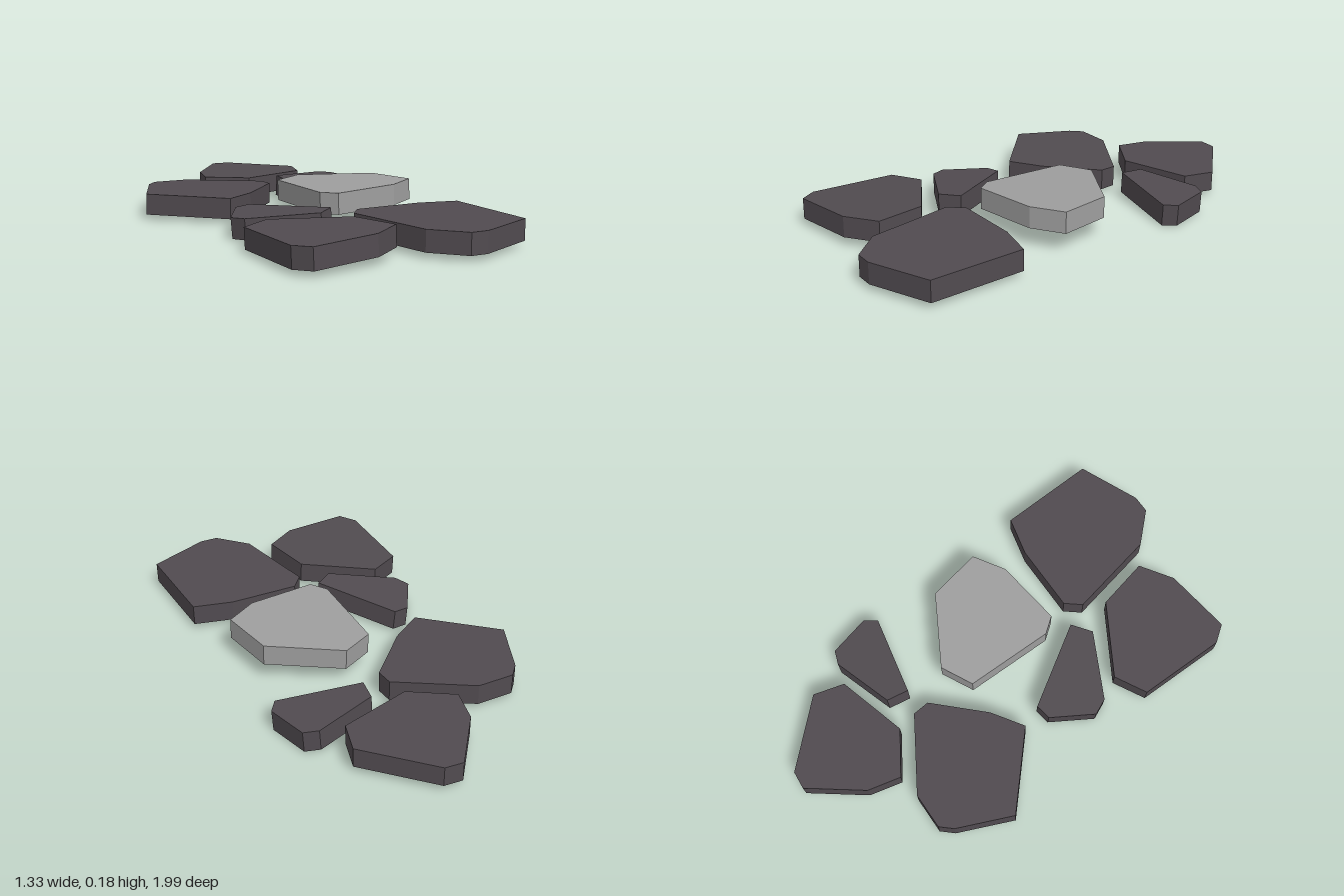
import * as THREE from 'three';

const darkStone = new THREE.MeshStandardMaterial({ name: 'darkStone', color: 0x514b50, flatShading: true, side: THREE.DoubleSide });
const lightStone = new THREE.MeshStandardMaterial({ name: 'lightStone', color: 0x9e9e9e, flatShading: true, side: THREE.DoubleSide });

// Each outline runs clockwise seen from above as [x, z].
// top is the height at the centre; slope is the rise of the top along x and z.
const stones = [
  { name: 'backRightSlab', centre: [0.33, -0.75], top: 0.115, slope: [0, -0.005], thick: 0.088,
    outline: [[0.36, -1], [0.435, -0.97], [0.6, -0.655], [0.525, -0.535], [0.2, -0.545], [0.06, -0.71], [0.135, -0.84]] },
  { name: 'backLeftSlab', centre: [-0.12, -0.5], top: 0.114, slope: [-0.01, 0], thick: 0.094,
    outline: [[-0.2, -0.78], [-0.045, -0.73], [0.195, -0.455], [0.18, -0.38], [-0.065, -0.25], [-0.225, -0.205], [-0.43, -0.545], [-0.26, -0.745]] },
  { name: 'smallRightChip', centre: [0.5, -0.35], top: 0.107, slope: [-0.05, -0.025], thick: 0.096,
    outline: [[0.325, -0.48], [0.61, -0.48], [0.663, -0.44], [0.657, -0.25], [0.605, -0.21], [0.282, -0.39]] },
  { name: 'raisedLightSlab', centre: [0.2, 0.05], top: 0.172, slope: [0.02, 0.025], thick: 0.094,
    outline: [[0.065, -0.205], [0.22, -0.23], [0.457, 0.025], [0.435, 0.27], [0.28, 0.31], [-0.02, 0.255], [-0.05, 0.175]] },
  { name: 'smallLeftChip', centre: [-0.25, 0.1], top: 0.11, slope: [0.06, 0.05], thick: 0.092,
    outline: [[-0.28, -0.11], [-0.21, -0.1], [-0.103, 0.29], [-0.2, 0.325], [-0.425, 0.105], [-0.435, 0.03]] },
  { name: 'frontLeftSlab', centre: [-0.41, 0.5], top: 0.119, slope: [0.03, 0.03], thick: 0.092,
    outline: [[-0.555, 0.243], [-0.4, 0.213], [-0.163, 0.475], [-0.18, 0.71], [-0.34, 0.757], [-0.638, 0.705], [-0.668, 0.62]] },
  { name: 'frontRightSlab', centre: [0.15, 0.68], top: 0.118, slope: [0, 0], thick: 0.093,
    outline: [[-0.087, 0.405], [-0.015, 0.358], [0.277, 0.453], [0.43, 0.545], [0.325, 0.967], [0.035, 0.993], [-0.04, 0.968], [-0.12, 0.81]] },
];

// A tilted polygon cap with a wall around it, hollow and open underneath
function slabGeometry({ centre, top, slope, thick, outline }) {
  const down = new THREE.Vector3(slope[0], -1, slope[1]).setLength(thick);
  const upper = outline.map(([x, z]) =>
    new THREE.Vector3(x, top + (x - centre[0]) * slope[0] + (z - centre[1]) * slope[1], z));
  const lower = upper.map((p) => p.clone().add(down));
  const points = [];
  const n = upper.length;
  for (let i = 0; i < n; i++) {
    const j = (i + 1) % n;
    if (i > 0 && j > 0) points.push(upper[0], upper[j], upper[i]);
    points.push(upper[i], upper[j], lower[j], upper[i], lower[j], lower[i]);
  }
  const geometry = new THREE.BufferGeometry().setFromPoints(points);
  geometry.computeVertexNormals();
  return geometry;
}

export function createModel() {
  const group = new THREE.Group();
  group.name = 'steppingStones';
  for (const stone of stones) {
    const mesh = new THREE.Mesh(slabGeometry(stone), stone.name === 'raisedLightSlab' ? lightStone : darkStone);
    mesh.name = stone.name;
    group.add(mesh);
  }
  return group;
}
